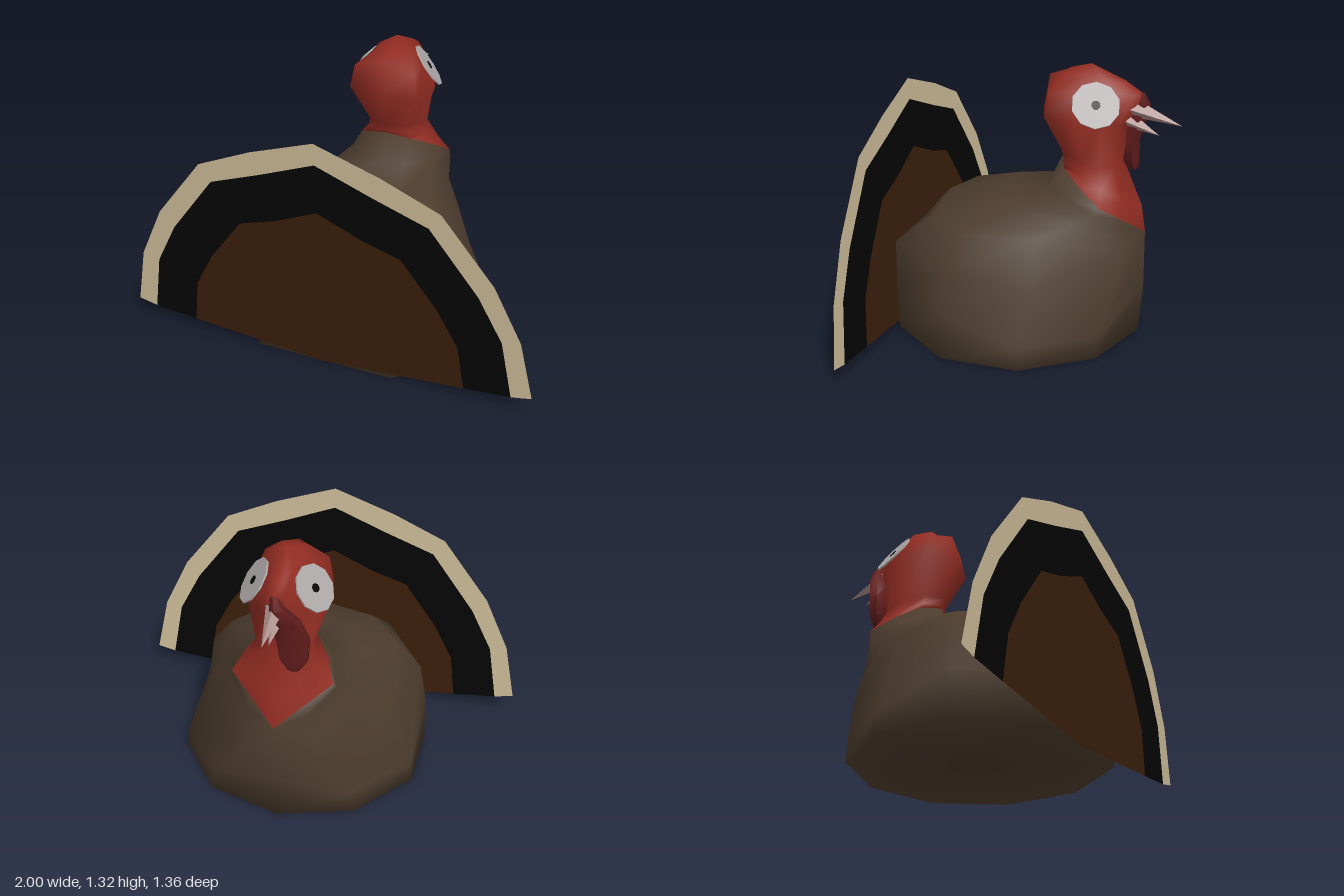
import * as THREE from 'three';
import { toCreasedNormals } from 'three/addons/utils/BufferGeometryUtils.js';

const material = (name, color, side = THREE.FrontSide) =>
  new THREE.MeshStandardMaterial({ name, color, side });

// Completes a front-to-back half section on the +x side
const mirrored = (half) => [
  ...half,
  ...half.slice(1, -1).reverse().map(([x, y, z]) => [-x, y, z]),
];

// Skins closed rings listed from bottom to top, capping both ends
function loft(rings, crease) {
  const pos = [];
  const tri = (...pts) => {
    const [a, b, c] = pts.map((p) => new THREE.Vector3(...p));
    if (b.clone().sub(a).cross(c.clone().sub(a)).length() < 1e-7) return;
    for (const p of pts) pos.push(...p);
  };
  const centre = (ring) => [0, 1, 2].map((i) => ring.reduce((s, p) => s + p[i], 0) / ring.length);
  const n = rings[0].length;
  const first = rings[0], last = rings[rings.length - 1];
  const low = centre(first), high = centre(last);
  for (let k = 0; k < n; k++) {
    const j = (k + 1) % n;
    tri(low, first[k], first[j]);
    for (let i = 0; i < rings.length - 1; i++) {
      const a = rings[i], b = rings[i + 1];
      tri(a[k], b[k], a[j]);
      tri(a[j], b[k], b[j]);
    }
    tri(high, last[j], last[k]);
  }
  const geo = new THREE.BufferGeometry();
  geo.setAttribute('position', new THREE.Float32BufferAttribute(pos, 3));
  return toCreasedNormals(geo, crease);
}

export function createModel() {
  const model = new THREE.Group();
  const mats = {
    plumage: material('brown plumage', 0x4c3c2d),
    skin: material('red skin', 0x912c22),
    snood: material('dark red snood', 0x641d1d),
    eye: material('pale eye', 0xafabaa),
    black: material('black', 0x060606),
    beak: material('pinkish beak', 0xb09490),
    tan: material('tan feather tips', 0xccbb97, THREE.DoubleSide),
    band: material('black feather band', 0x050505, THREE.DoubleSide),
    fan: material('dark brown feathers', 0x3a1e0b, THREE.DoubleSide),
  };
  const add = (name, geo, mat, parent = model) => {
    const mesh = new THREE.Mesh(geo, mat);
    mesh.name = name;
    parent.add(mesh);
    return mesh;
  };

  // Body: rises from a ten-sided base to the V-shaped neckline
  const neckline = [[0, 0.52, -0.52], [0.12, 0.61, -0.44], [0.24, 0.70, -0.36],
    [0.19, 0.77, -0.25], [0.11, 0.83, -0.15], [0, 0.86, -0.11]];
  const bodyRings = [
    [[0, 0, -0.5], [0.36, 0, -0.385], [0.585, 0, -0.08], [0.585, 0, 0.3], [0.34, 0, 0.62], [0, 0, 0.62]],
    [[0, 0.23, -0.52], [0.34, 0.11, -0.395], [0.575, 0.1, -0.08], [0.58, 0.22, 0.3], [0.34, 0.22, 0.625], [0, 0.22, 0.625]],
    [[0, 0.52, -0.52], [0.225, 0.34, -0.455], [0.455, 0.35, -0.09], [0.545, 0.43, 0.28], [0.32, 0.44, 0.63], [0, 0.44, 0.635]],
    [[0, 0.52, -0.52], [0.18, 0.48, -0.455], [0.385, 0.56, -0.09], [0.43, 0.57, 0.25], [0.265, 0.6, 0.43], [0, 0.62, 0.475]],
    [[0, 0.52, -0.52], [0.16, 0.53, -0.45], [0.29, 0.62, -0.22], [0.285, 0.665, 0.03], [0.17, 0.685, 0.16], [0, 0.7, 0.16]],
    [[0, 0.52, -0.52], [0.142, 0.575, -0.447], [0.252, 0.67, -0.34], [0.21, 0.72, -0.19], [0.12, 0.73, -0.08], [0, 0.735, -0.05]],
    neckline,
  ];
  add('body', loft(bodyRings.map(mirrored), 1.75), mats.plumage);

  // Neck and head
  const headRings = [
    neckline,
    [[0, 0.65, -0.5], [0.11, 0.7, -0.43], [0.18, 0.77, -0.35], [0.15, 0.82, -0.25], [0.095, 0.86, -0.15], [0, 0.875, -0.105]],
    [[0, 0.84, -0.4], [0.08, 0.85, -0.385], [0.13, 0.86, -0.33], [0.135, 0.88, -0.24], [0.09, 0.9, -0.14], [0, 0.91, -0.09]],
    [[0, 1.05, -0.43], [0.075, 1.05, -0.4], [0.16, 1.08, -0.34], [0.205, 1.09, -0.22], [0.17, 1.09, -0.07], [0, 1.09, -0.015]],
    [[0, 1.19, -0.5], [0.04, 1.19, -0.46], [0.065, 1.2, -0.38], [0.14, 1.2, -0.22], [0.15, 1.2, -0.085], [0, 1.25, -0.045]],
    [[0, 1.235, -0.42], [0.03, 1.24, -0.4], [0.05, 1.255, -0.33], [0.08, 1.275, -0.22], [0.06, 1.275, -0.13], [0, 1.28, -0.13]],
    Array(6).fill([0, 1.315, -0.245]),
  ];
  add('head', loft(headRings.map(mirrored), 1.75), mats.skin);

  // Snood: fleshy lobe draped over one side of the beak [x, y, z, half width, half depth]
  const snoodRings = [
    [-0.075, 0.805, -0.435, 0.03, 0.025], [-0.075, 0.85, -0.425, 0.07, 0.04],
    [-0.07, 0.95, -0.42, 0.085, 0.045], [-0.045, 1.06, -0.45, 0.07, 0.05],
    [-0.015, 1.14, -0.485, 0.035, 0.04], [0, 1.195, -0.485, 0.015, 0.015],
  ].map(([x, y, z, w, d]) => Array.from({ length: 6 }, (_, k) => {
    const t = (k / 6) * Math.PI * 2;
    return [x + w * Math.sin(t), y, z - d * Math.cos(t)];
  }));
  add('snood', loft(snoodRings, 1.2), mats.snood);

  // Eyes: thin discs lying on the cheeks
  for (const side of [1, -1]) {
    const eye = new THREE.Group();
    eye.name = side > 0 ? 'leftEye' : 'rightEye';
    const normal = new THREE.Vector3(0.76 * side, 0.56, -0.33).normalize();
    eye.position.set(0.135 * side, 1.155, -0.305).addScaledVector(normal, 0.005);
    eye.quaternion.setFromUnitVectors(new THREE.Vector3(0, 1, 0), normal);
    add('eyeball', new THREE.CylinderGeometry(0.112, 0.112, 0.008, 10), mats.eye, eye);
    add('pupil', new THREE.CylinderGeometry(0.021, 0.021, 0.006, 8), mats.black, eye).position.y = 0.004;
    model.add(eye);
  }

  // Beak: two slender four-sided cones
  const spike = (name, base, tip, radius) => {
    const a = new THREE.Vector3(...base), b = new THREE.Vector3(...tip);
    const dir = b.clone().sub(a);
    const geo = toCreasedNormals(new THREE.ConeGeometry(radius, dir.length(), 4), 0.5);
    const mesh = add(name, geo, mats.beak);
    mesh.position.copy(a).add(b).multiplyScalar(0.5);
    mesh.quaternion.setFromUnitVectors(new THREE.Vector3(0, 1, 0), dir.normalize());
  };
  spike('upperBeak', [0, 1.123, -0.445], [0, 1.055, -0.678], 0.046);
  spike('lowerBeak', [0, 1.067, -0.415], [0, 1.0, -0.573], 0.042);

  // Tail fan: three nested colour bands on one slightly leaning sheet
  const tips = [[0, 1.165], [0.31, 1.06], [0.575, 0.945], [0.815, 0.64], [0.94, 0.38], [1, 0.095]];
  const dark = [[0, 1.06], [0.27, 0.955], [0.52, 0.865], [0.745, 0.57], [0.855, 0.36], [0.905, 0.075]];
  const core = [[0, 0.82], [0.21, 0.73], [0.39, 0.675], [0.56, 0.45], [0.655, 0.275], [0.685, 0.055]];
  const arch = (half) => [...half.slice(1).reverse().map(([x, y]) => [-x, y]), ...half];
  const sheet = (name, outer, inner, mat) => {
    const points = [...arch(outer), ...inner].map(([x, y]) => new THREE.Vector2(x, y));
    const geo = new THREE.ShapeGeometry(new THREE.Shape(points));
    const p = geo.attributes.position;
    for (let i = 0; i < p.count; i++) p.setZ(i, 0.622 + 0.053 * p.getY(i));
    geo.computeVertexNormals();
    add(name, geo, mat);
  };
  sheet('tailTips', tips, arch(dark).reverse(), mats.tan);
  sheet('tailBand', dark, arch(core).reverse(), mats.band);
  sheet('tailCentre', core, [[0, 0]], mats.fan);

  return model;
}
